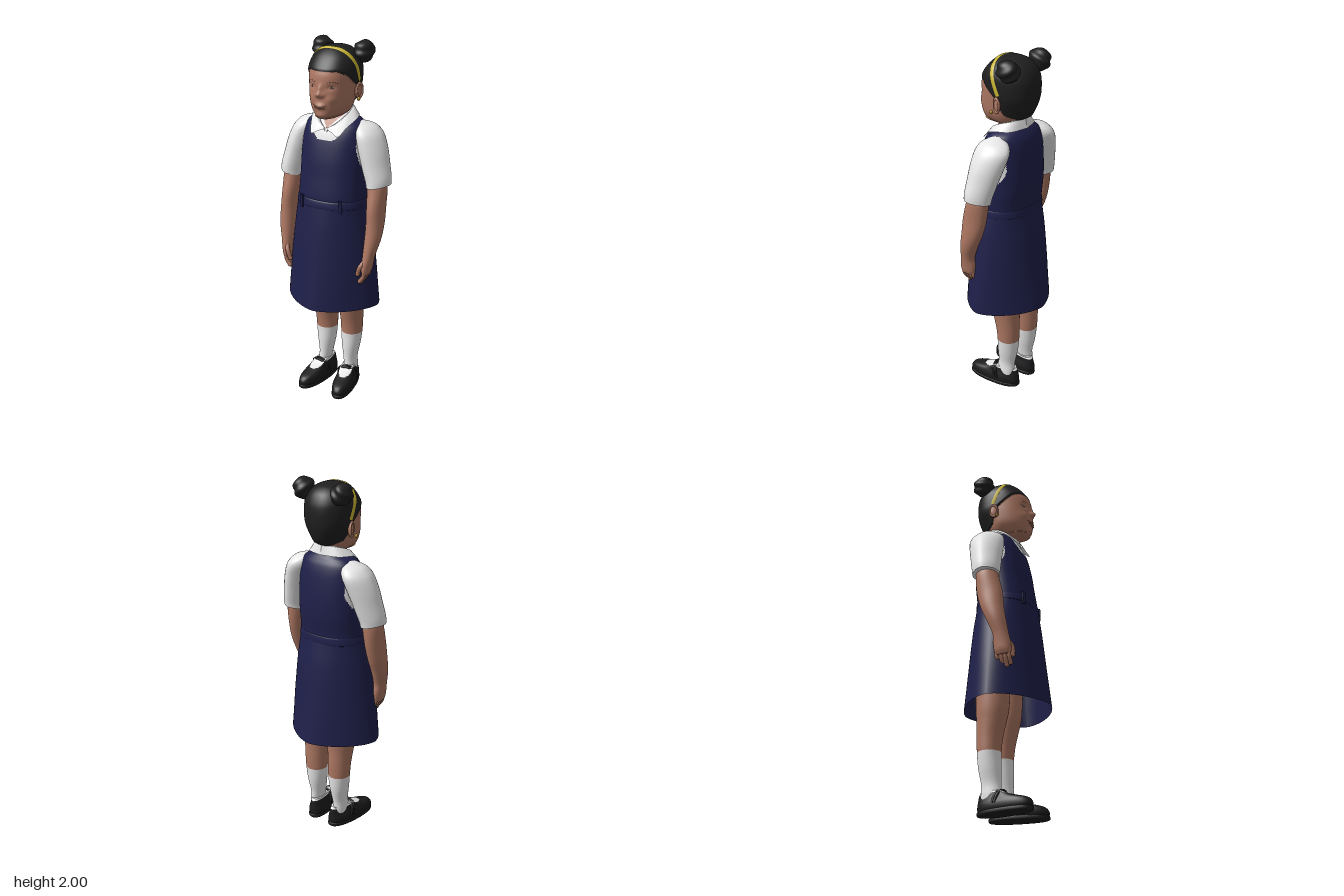
import * as THREE from 'three';

const mat = (name, color, side = THREE.FrontSide) => {
  const m = new THREE.MeshStandardMaterial({ color, side });
  m.name = name;
  return m;
};
const V = (x, y, z) => new THREE.Vector3(x, y, z);
const spline = (a, b, c, d, t) =>
  b + 0.5 * t * (c - a + t * (2 * a - 5 * b + 4 * c - d + t * (3 * (b - c) + d - a)));
const smooth = THREE.MathUtils.smoothstep;

// Grid of points (rows of equal length) turned into a smooth surface
function grid(rows, loop = false, caps = false) {
  const pos = [], idx = [], n = rows[0].length;
  rows.forEach(r => r.forEach(p => pos.push(p.x, p.y, p.z)));
  for (let i = 0; i < rows.length - 1; i++) {
    for (let j = 0; j < (loop ? n : n - 1); j++) {
      const a = i * n + j, b = i * n + (j + 1) % n;
      idx.push(a, b, b + n, a, b + n, a + n);
    }
  }
  if (caps) [rows[0], rows[rows.length - 1]].forEach((r, top) => {
    const base = pos.length / 3, c = V(0, 0, 0);
    r.forEach(p => { pos.push(p.x, p.y, p.z); c.addScaledVector(p, 1 / n); });
    pos.push(c.x, c.y, c.z);
    for (let j = 0; j < n; j++) {
      const a = base + j, b = base + (j + 1) % n;
      idx.push(base + n, top ? a : b, top ? b : a);
    }
  });
  const g = new THREE.BufferGeometry();
  g.setAttribute('position', new THREE.Float32BufferAttribute(pos, 3));
  g.setIndex(idx);
  g.computeVertexNormals();
  return g;
}

// Horizontal sections from the bottom up: [y, centreX, halfWidth, frontZ, backZ, roundness (optional)]
function loft(sections, { seg = 32, sub = 5, n = 2, side = 1, caps = true, warp = null, mid = null } = {}) {
  const rows = [], last = sections.length - 1;
  const at = i => sections[Math.max(0, Math.min(last, i))];
  for (let k = 0; k <= last * sub; k++) {
    const i = Math.min(last - 1, Math.floor(k / sub)), t = k / sub - i;
    const [y, cx, rx, zf, zb, e = n] = at(i).map((v, c) => spline(at(i - 1)[c], v, at(i + 1)[c], at(i + 2)[c], t));
    const zc = mid !== null && mid < zf && mid > zb ? mid : (zf + zb) / 2;
    const sup = v => Math.sign(v) * Math.abs(v) ** (2 / e);
    rows.push(Array.from({ length: seg }, (_, j) => {
      const a = j / seg * Math.PI * 2, c = sup(Math.cos(a));
      const p = V(cx * side + rx * sup(Math.sin(a)), y, zc + c * (c > 0 ? zf - zc : zc - zb));
      if (warp) warp(p);
      return p;
    }));
  }
  return grid(rows, true, caps);
}

// Sort triangles into material groups by a rule on their centre
function paint(g, count, rule) {
  const lists = Array.from({ length: count }, () => []), ix = g.index.array, p = g.attributes.position;
  for (let i = 0; i < ix.length; i += 3) {
    const c = V(0, 0, 0);
    for (let k = 0; k < 3; k++) c.addScaledVector(V(0, 0, 0).fromBufferAttribute(p, ix[i + k]), 1 / 3);
    lists[rule(c)].push(ix[i], ix[i + 1], ix[i + 2]);
  }
  g.setIndex(lists.flat());
  let start = 0;
  lists.forEach((l, m) => { g.addGroup(start, l.length, m); start += l.length; });
  return g;
}

// Height of the hairline at depth z
const LINE = [[-0.1, 1.665], [-0.05, 1.69], [-0.03, 1.74], [-0.01, 1.78], [0.03, 1.812], [0.07, 1.845], [0.11, 1.865]];
function hairline(z) {
  if (z <= LINE[0][0]) return LINE[0][1];
  for (let i = 1; i < LINE.length; i++) {
    const [z0, y0] = LINE[i - 1], [z1, y1] = LINE[i];
    if (z < z1) return y0 + (y1 - y0) * (z - z0) / (z1 - z0);
  }
  return 1.865;
}

// Face relief: [x, y, push, spreadX, spreadY]
const RELIEF = [[0, 1.752, 0.026, 0.016, 0.014], [0, 1.778, 0.012, 0.011, 0.022], [0.02, 1.748, 0.008, 0.009, 0.009],
  [0.056, 1.725, 0.007, 0.025, 0.022], [0, 1.692, 0.011, 0.03, 0.014], [0, 1.642, 0.006, 0.03, 0.014],
  [0.052, 1.787, -0.008, 0.022, 0.013]];
function shapeHead(p) {
  if (p.z > 0) {
    let push = 0;
    for (const [x, y, d, sx, sy] of RELIEF)
      push += d * Math.exp(-(((Math.abs(p.x) - x) / sx) ** 2) - ((p.y - y) / sy) ** 2);
    p.z += push * Math.min(1, p.z / 0.06);
  }
  const m = smooth(p.y - hairline(p.z), -0.003, 0.012);
  const nape = smooth(1.8 - p.y, 0, 0.13) * smooth(-p.z, 0, 0.1);
  p.x *= (1 + 0.07 * m) * (1 - 0.28 * nape);
  p.z += Math.sign(p.z + 0.02) * 0.004 * m * Math.min(1, Math.abs(p.z + 0.02) / 0.05);
}

export function createModel() {
  const model = new THREE.Group();
  model.name = 'schoolgirl';
  const skin = mat('skin', 0xad7762), white = mat('white cotton', 0xececec, THREE.DoubleSide);
  const navy = mat('navy cloth', 0x1f204a, THREE.DoubleSide), hair = mat('black hair', 0x1f1f1f);
  const shoe = mat('shoe leather', 0x1b1b1d), yellow = mat('yellow band', 0xcbb631, THREE.DoubleSide);
  const gold = mat('gold', 0xa9852f), lip = mat('lips and brows', 0x93604f), iris = mat('iris', 0x4a372f);
  const eyeWhite = mat('eye white', 0xa58c80);
  const add = (name, geo, m, parent = model) => {
    const mesh = new THREE.Mesh(geo, m);
    mesh.name = name;
    parent.add(mesh);
    return mesh;
  };
  const blob = (name, m, pos, scale, rotY = 0) => {
    const b = add(name, new THREE.SphereGeometry(1, 20, 14), m);
    b.position.set(...pos); b.scale.set(...scale); b.rotation.y = rotY;
  };
  const tube = (name, pts, r, m, parent) =>
    add(name, new THREE.TubeGeometry(new THREE.CatmullRomCurve3(pts), 20, r, 8), m, parent);

  // Torso: shirt with the pinafore bodice and the open neck painted on
  const torso = loft([[1.14, 0, 0.19, 0.16, -0.153], [1.2, 0, 0.189, 0.157, -0.155], [1.3, 0, 0.187, 0.142, -0.165],
    [1.4, 0, 0.185, 0.127, -0.163], [1.5, 0, 0.18, 0.103, -0.152], [1.56, 0, 0.168, 0.078, -0.138],
    [1.592, 0, 0.14, 0.052, -0.122], [1.612, 0, 0.1, 0.038, -0.108], [1.63, 0, 0.065, 0.03, -0.1]],
  { seg: 140, sub: 10, n: 2.3 });
  add('bodice', paint(torso, 3, ({ x, y, z }) => {
    const ax = Math.abs(x);
    if (z > 0 && y > 1.56 && ax < (y - 1.556) * 0.9) return 2;
    const neck = z > -0.02 ? ax < 0.09 && y > 1.5 + 0.09 * (ax / 0.09) ** 5 : y > 1.612;
    const armhole = ax > 0.15 && ((z + 0.03) / 0.085) ** 2 + ((y - 1.45) / 0.12) ** 2 < 1;
    return neck || armhole ? 1 : 0;
  }), [navy, white, skin]);

  // Skirt, belt and belt loops
  add('skirt', loft([[0.57, 0, 0.278, 0.246, -0.24, 1.55], [0.68, 0, 0.266, 0.232, -0.226, 1.6], [0.8, 0, 0.252, 0.216, -0.21, 1.7],
    [1, 0, 0.225, 0.191, -0.186, 1.85], [1.1, 0, 0.207, 0.176, -0.168, 2], [1.16, 0, 0.194, 0.166, -0.156, 2.2]],
  { seg: 72, caps: false }), navy);
  add('belt', loft([[1.14, 0, 0.192, 0.164, -0.155], [1.145, 0, 0.198, 0.17, -0.16],
    [1.178, 0, 0.193, 0.165, -0.158], [1.184, 0, 0.188, 0.157, -0.153]], { seg: 64, n: 2.2 }), navy);
  for (const s of [1, -1]) {
    const loop = add('beltLoop', new THREE.BoxGeometry(0.02, 0.07, 0.012), navy);
    loop.position.set(s * 0.115, 1.16, 0.145);
    loop.rotation.y = s * 0.45;
  }

  // Neck and folded collar
  add('neck', loft([[1.54, 0, 0.07, 0.035, -0.1], [1.6, 0, 0.065, 0.03, -0.098], [1.7, 0, 0.062, 0.03, -0.1]]), skin);
  const edge = pts => new THREE.CatmullRomCurve3(pts.map(p => V(...p))).getPoints(28);
  for (const s of [1, -1]) {
    const top = edge([[0, 1.672, -0.108], [0.072, 1.66, -0.07], [0.082, 1.632, 0], [0.045, 1.588, 0.062], [0.005, 1.56, 0.088]]);
    const low = edge([[0, 1.615, -0.122], [0.1, 1.613, -0.088], [0.13, 1.606, -0.01], [0.108, 1.575, 0.055],
      [0.078, 1.528, 0.106], [0.04, 1.545, 0.1], [0.01, 1.555, 0.095]]);
    const roll = top.map((p, i) => p.clone().lerp(low[i], 0.3).add(V(0, 0.008, 0.002)));
    const under = top.map(p => V(p.x * 0.88, p.y - 0.04, p.z));
    const rows = [under, top, roll, low].map(r => r.map(p => V(p.x * s, p.y, p.z)));
    add('collar', grid(s > 0 ? rows : rows.reverse()), white);
  }

  for (const s of [1, -1]) {
    // Sleeve and arm
    add('sleeve', loft([[1.263, 0.262, 0.067, 0.068, -0.088], [1.3, 0.257, 0.07, 0.068, -0.095],
      [1.37, 0.236, 0.077, 0.066, -0.112], [1.45, 0.21, 0.083, 0.064, -0.132], [1.515, 0.186, 0.08, 0.058, -0.145],
      [1.55, 0.17, 0.07, 0.042, -0.135], [1.574, 0.155, 0.052, 0.012, -0.105], [1.592, 0.135, 0.01, -0.03, -0.055]],
    { side: s, n: 1.75, warp: p => { p.y += (Math.abs(p.x) - 0.262) * 0.2 * smooth(1.4 - p.y, 0, 0.1); } }), white);
    add('arm', loft([[0.785, 0.244, 0.016, 0.125, 0.045], [0.81, 0.246, 0.025, 0.128, 0.034], [0.85, 0.25, 0.028, 0.126, 0.03],
      [0.9, 0.255, 0.033, 0.116, 0.03], [0.98, 0.264, 0.043, 0.104, 0], [1.06, 0.265, 0.046, 0.092, -0.035],
      [1.15, 0.261, 0.047, 0.083, -0.06], [1.25, 0.257, 0.051, 0.058, -0.07], [1.32, 0.25, 0.045, 0.045, -0.065]],
    { side: s }), skin);
    // Fingers and thumb
    const finger = (name, a, b, c, r) => {
      tube(name, [a, b, c].map(p => V(p[0] * s, p[1], p[2])), r, skin);
      blob(name + 'Tip', skin, [c[0] * s, c[1], c[2]], [r, r, r]);
    };
    for (let i = 0; i < 4; i++) {
      const z = 0.045 + i * 0.0225, drop = [0.018, 0.004, 0, 0.01][i];
      finger('finger', [0.247, 0.81, z], [0.239, 0.772, z + 0.002], [0.22, 0.734 + drop, z + 0.002], 0.0115);
    }
    finger('thumb', [0.243, 0.865, 0.105], [0.224, 0.83, 0.125], [0.212, 0.79, 0.123], 0.0125);

    // Leg with sock
    add('leg', paint(loft([[0.05, 0.088, 0.032, 0.01, -0.1], [0.1, 0.086, 0.034, 0.006, -0.106], [0.16, 0.08, 0.038, 0, -0.107],
      [0.24, 0.08, 0.052, 0, -0.122], [0.325, 0.081, 0.061, -0.002, -0.129], [0.4, 0.082, 0.064, 0.006, -0.132],
      [0.48, 0.083, 0.07, 0.024, -0.132], [0.56, 0.084, 0.077, 0.042, -0.137], [0.7, 0.085, 0.08, 0.05, -0.14]],
    { side: s }), 2, c => c.y < 0.325 ? 0 : 1), [white, skin]);

    // Strapped shoe, slightly splayed
    const foot = new THREE.Group();
    foot.name = 'shoe';
    foot.position.x = s * 0.087;
    foot.rotation.y = s * 0.16;
    model.add(foot);
    add('shoeUpper', paint(loft([[0.01, 0, 0.052, 0.178, -0.125], [0.03, 0, 0.057, 0.186, -0.13], [0.05, 0, 0.057, 0.181, -0.13],
      [0.068, 0, 0.052, 0.16, -0.128], [0.085, 0, 0.046, 0.1, -0.126], [0.105, 0, 0.04, 0.04, -0.123], [0.12, 0, 0.034, 0.015, -0.112]],
    { seg: 64, sub: 6, n: 2.3, mid: 0.02 }), 2, ({ x, y, z }) =>
      y > 0.06 && (x / 0.036) ** 2 + ((z - 0.03) / 0.06) ** 2 < 1 || y > 0.108 ? 1 : 0), [shoe, white], foot);
    add('sole', loft([[0, 0, 0.054, 0.18, -0.128], [0.004, 0, 0.059, 0.188, -0.133], [0.018, 0, 0.059, 0.188, -0.133],
      [0.022, 0, 0.054, 0.183, -0.128]], { n: 2.3, mid: 0.02 }), shoe, foot);
    for (const dz of [-0.006, 0.006]) tube('strap', [V(-0.055, 0.05, dz - 0.008), V(-0.042, 0.1, dz + 0.008), V(0, 0.118, dz + 0.014),
      V(0.042, 0.1, dz + 0.008), V(0.055, 0.05, dz - 0.008)], 0.008, shoe, foot);
  }

  // Head with face and swept-back hair
  const head = add('head', paint(loft([[1.617, 0, 0.03, 0.12, 0.03], [1.624, 0, 0.055, 0.136, 0], [1.642, 0, 0.082, 0.146, -0.06],
    [1.67, 0, 0.101, 0.151, -0.12], [1.7, 0, 0.111, 0.152, -0.143], [1.75, 0, 0.118, 0.15, -0.161], [1.8, 0, 0.121, 0.148, -0.168],
    [1.85, 0, 0.122, 0.141, -0.168], [1.89, 0, 0.118, 0.12, -0.16], [1.93, 0, 0.1, 0.088, -0.14],
    [1.957, 0, 0.074, 0.056, -0.11], [1.971, 0, 0.045, 0.028, -0.075], [1.977, 0, 0.008, -0.01, -0.035]],
  { seg: 128, sub: 8, n: 2.2, mid: -0.02, warp: shapeHead }), 2, c => c.y > hairline(c.z) ? 1 : 0), [skin, hair]);

  // Points on the head surface, found by casting a ray
  const hit = (from, dir) => new THREE.Raycaster(from, dir.clone().normalize()).intersectObject(head)[0].point;
  const onFace = (x, y, lift = 0) => hit(V(x, y, 1), V(0, 0, -1)).add(V(0, 0, lift));
  const stroke = (name, pts, r, m) => tube(name, pts.map(([x, y]) => onFace(x, y, -r * 0.4)), r, m);

  stroke('upperLip', [[-0.042, 1.699], [-0.02, 1.691], [0, 1.689], [0.02, 1.691], [0.042, 1.699]], 0.0025, lip);
  stroke('lowerLip', [[-0.03, 1.688], [-0.015, 1.682], [0, 1.68], [0.015, 1.682], [0.03, 1.688]], 0.0045, lip);
  for (const s of [1, -1]) {
    const e = onFace(s * 0.055, 1.787);
    blob('eye', eyeWhite, [e.x, e.y, e.z - 0.001], [0.016, 0.006, 0.003], s * 0.4);
    blob('iris', iris, [e.x, e.y, e.z + 0.001], [0.0055, 0.0055, 0.002], s * 0.4);
    stroke('eyebrow', [[s * 0.03, 1.811], [s * 0.057, 1.817], [s * 0.082, 1.809]], 0.002, lip);
    // Ear and earring
    blob('ear', skin, [s * 0.124, 1.75, -0.028], [0.012, 0.04, 0.026], s * -0.3);
    const rim = add('earRim', new THREE.TorusGeometry(0.026, 0.006, 8, 24), skin);
    rim.position.set(s * 0.132, 1.752, -0.03);
    rim.rotation.y = Math.PI / 2 - s * 0.3;
    rim.scale.set(0.85, 1.4, 1);
    blob('earring', gold, [s * 0.141, 1.714, -0.004], [0.009, 0.011, 0.009]);
    // Coiled hair bun
    const bun = new THREE.SphereGeometry(1, 40, 28), p = bun.attributes.position;
    for (let i = 0; i < p.count; i++) {
      const v = V(0, 0, 0).fromBufferAttribute(p, i);
      const k = 1 + 0.08 * Math.sin(2 * Math.atan2(v.z, v.x * s) + 7 * v.y) * (1 - v.y * v.y);
      p.setXYZ(i, v.x * k, v.y * k, v.z * k);
    }
    bun.computeVertexNormals();
    const b = add('hairBun', bun, hair);
    b.position.set(s * 0.12, 1.94, -0.097);
    b.scale.set(0.053, 0.059, 0.062);
    b.rotation.z = -s * 0.35;
  }

  // Headband: a slightly raised strip across the top of the head
  const up = V(0, 0.92, 0.39), fwd = V(0, -0.39, 0.92);
  const bandRow = (shift, lift) => Array.from({ length: 49 }, (_, i) => {
    const a = (i / 48 - 0.5) * 3.2, d = V(Math.sin(a), 0, 0).addScaledVector(up, Math.cos(a));
    const o = V(0, 1.805, -0.035).addScaledVector(fwd, shift).addScaledVector(d, 0.5);
    return hit(o, d.clone().negate()).addScaledVector(d, lift);
  });
  add('headband', grid([bandRow(0.011, -0.004), bandRow(0.01, 0.003), bandRow(-0.01, 0.003), bandRow(-0.011, -0.004)]), yellow);
  return model;
}
